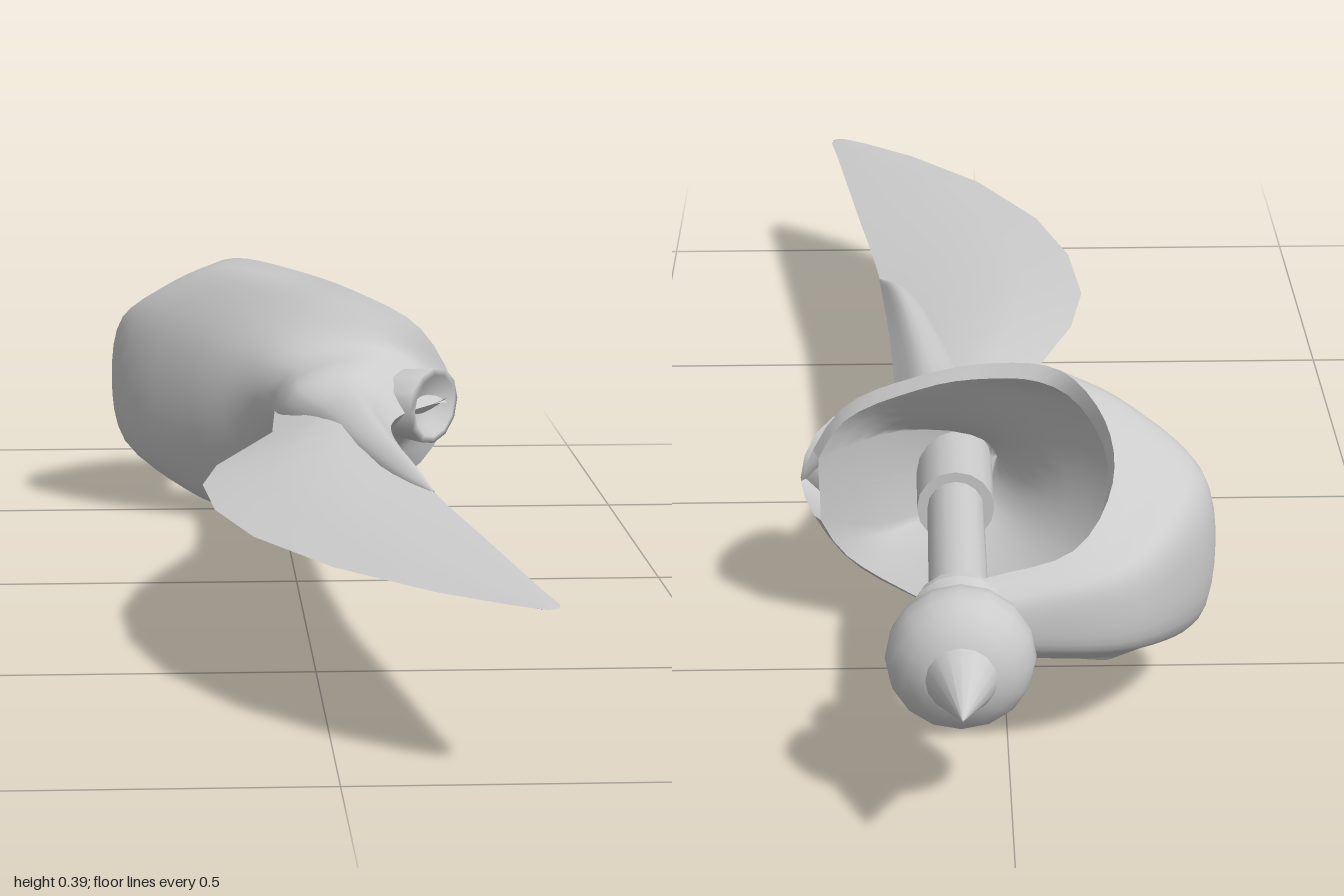
import * as THREE from 'three';
import { mergeVertices } from 'three/addons/utils/BufferGeometryUtils.js';

const MID = 0.195; // height of the sword's plane of symmetry
const V = (x, y, z) => new THREE.Vector3(x, y, z);
const steel = new THREE.MeshStandardMaterial({ color: 0xcccccc, side: THREE.DoubleSide });

// Skins a grid of points (rows of equal length)
function skin(rows, flip = false) {
  const n = rows[0].length, index = [];
  for (let s = 0; s < rows.length - 1; s++) {
    for (let c = 0; c < n - 1; c++) {
      const a = s * n + c, b = a + 1, d = a + n, e = d + 1;
      if (flip) index.push(a, d, b, b, d, e);
      else index.push(a, b, d, b, e, d);
    }
  }
  const g = new THREE.BufferGeometry();
  g.setAttribute('position', new THREE.Float32BufferAttribute(rows.flat().flatMap(p => [p.x, p.y, p.z]), 3));
  g.setIndex(index);
  g.computeVertexNormals();
  return g;
}

// Guard sections from pommel, round the knuckle bow, to the end of the blade collar:
// keel x, keel z, edge y, side y, rim x, rim y, rim z
const sections = [
  [0.03, -0.785, 0.025, 0.043, 0.03, 0.05, -0.75],
  [-0.13, -0.75, 0.045, 0.06, -0.075, 0.07, -0.72],
  [-0.21, -0.665, 0.07, 0.095, -0.125, 0.115, -0.63],
  [-0.255, -0.56, 0.093, 0.135, -0.12, 0.16, -0.55],
  [-0.235, -0.505, 0.1, 0.165, -0.07, 0.193, -0.47],
  [-0.14, -0.42, 0.085, 0.16, 0.01, 0.183, -0.42],
  [-0.055, -0.36, 0.065, 0.125, 0.1, 0.155, -0.39],
  [-0.022, -0.31, 0.055, 0.09, 0.2, 0.1, -0.365],
  [-0.02, -0.265, 0.05, 0.07, 0.252, 0, -0.36],
  [-0.018, -0.23, 0.047, 0.06, 0.215, 0, -0.3],
  [-0.01, -0.19, 0.042, 0.05, 0.165, 0, -0.22],
  [0.03, -0.1, 0.03, 0.042, 0.138, 0, -0.12],
  [0.066, 0.08, 0.022, 0.032, 0.14, 0, 0.08],
  [0.11, 0.27, 0.014, 0.022, 0.152, 0, 0.27],
  [0.153, 0.35, 0.001, 0.002, 0.158, 0, 0.35],
];
const STEP = 4;       // rows between two sections
const CUP_END = 8;    // section where the rim closes at the tip

function guardRows() {
  const across = sections.map(([kx, kz, ey, sy, rx, ry, rz]) => {
    const at = (t, y) => V(kx + (rx - kx) * t, y, kz + (rz - kz) * t);
    const half = [at(1, ry), at(0.6, sy), at(0.13, ey)];
    const other = half.map(p => V(p.x, -p.y, p.z)).reverse();
    return new THREE.CatmullRomCurve3([...half, at(0, 0), ...other]).getPoints(24);
  });
  const columns = across[0].map((_, c) =>
    new THREE.CatmullRomCurve3(across.map(r => r[c])).getPoints((sections.length - 1) * STEP));
  return columns[0].map((_, s) => columns.map(col => V(col[s].x, col[s].y + MID, col[s].z)));
}

function buildGuard() {
  const group = new THREE.Group();
  group.name = 'guard';
  const rows = guardRows(), n = rows[0].length;
  const outer = skin(rows);
  const normal = outer.attributes.normal;
  const add = (g, name) => {
    const m = new THREE.Mesh(g, steel);
    m.name = name;
    group.add(m);
  };
  // Inner wall, offset from the outer one, with a floor collapsed on the middle plane
  const cup = rows.slice(0, CUP_END * STEP - 1);
  const inner = cup.map((row, s) => row.map((p, c) =>
    p.clone().addScaledVector(V().fromBufferAttribute(normal, s * n + c), -0.022)));
  const floor = inner[inner.length - 1].map(p => V(p.x, MID, p.z));
  add(mergeVertices(outer), 'guardShell');
  add(skin([...inner, floor], true), 'guardLining');
  // Rim faces between both walls
  for (const c of [0, n - 1]) {
    add(skin(cup.map((row, s) => [inner[s][c], row[c]]), c > 0), 'guardRim');
  }
  // Oval dished boss on the short end of the guard
  const dish = [[0.9, -0.05], [1, 0], [0.82, 0.002], [0.55, -0.014], [0, -0.022]];
  const boss = new THREE.Mesh(
    new THREE.LatheGeometry(dish.map(p => new THREE.Vector2(...p)), 12), steel);
  boss.name = 'guardBoss';
  boss.scale.set(0.055, 1, 0.078);
  boss.rotation.set(0, -0.55, -Math.PI / 2);
  boss.position.set(0.212, MID, -0.283);
  group.add(boss);
  return group;
}

// Blade stations: z, cutting edge x, back x, half thickness
const bladeStations = [
  [-0.28, -0.018, 0.12, 0.022], [-0.08, -0.03, 0.132, 0.024], [0.03, -0.068, 0.135, 0.024],
  [0.16, -0.113, 0.142, 0.024], [0.29, -0.134, 0.15, 0.022], [0.45, -0.122, 0.168, 0.018],
  [0.61, -0.08, 0.19, 0.014], [0.78, 0.005, 0.212, 0.01], [0.91, 0.11, 0.229, 0.006],
  [0.975, 0.185, 0.239, 0.003], [0.993, 0.21, 0.237, 0.002], [1, 0.222, 0.23, 0],
];

function buildBlade() {
  const group = new THREE.Group();
  group.name = 'blade';
  for (const side of [1, -1]) {
    const rows = bladeStations.map(([z, x0, x1, h]) => [
      V(x0, MID, z), V(x0 + (x1 - x0) * 0.3, MID + side * h * 0.6, z),
      V(x0 + (x1 - x0) * 0.62, MID + side * h, z), V(x1, MID, z)]);
    const face = new THREE.Mesh(skin(rows, side > 0), steel);
    face.name = side > 0 ? 'bladeUpperFace' : 'bladeLowerFace';
    group.add(face);
  }
  return group;
}

// Hilt parts, turned round an axis that runs backwards (-z)
function buildHilt() {
  const group = new THREE.Group();
  group.name = 'hilt';
  const turned = (name, geometry, along) => {
    const m = new THREE.Mesh(geometry, steel);
    m.name = name;
    m.position.y = along;
    group.add(m);
    return m;
  };
  const rod = (name, r0, r1, from, to) =>
    turned(name, new THREE.CylinderGeometry(r1, r0, to - from, 16), (from + to) / 2);
  rod('ferrule', 0.048, 0.048, 0.3, 0.445);
  rod('grip', 0.035, 0.035, 0.4, 0.77);
  rod('pommelCollar', 0.055, 0.055, 0.74, 0.775);
  rod('pommelNeck', 0.062, 0.05, 0.765, 0.795);
  turned('pommel', new THREE.SphereGeometry(0.086, 16, 12), 0.848).scale.y = 0.77;
  rod('pommelSpike', 0.043, 0.001, 0.9, 1);
  group.rotation.x = -Math.PI / 2;
  group.position.set(0.058, MID, 0);
  return group;
}

export function createModel() {
  const model = new THREE.Group();
  model.name = 'sword';
  model.add(buildBlade(), buildGuard(), buildHilt());
  return model;
}
